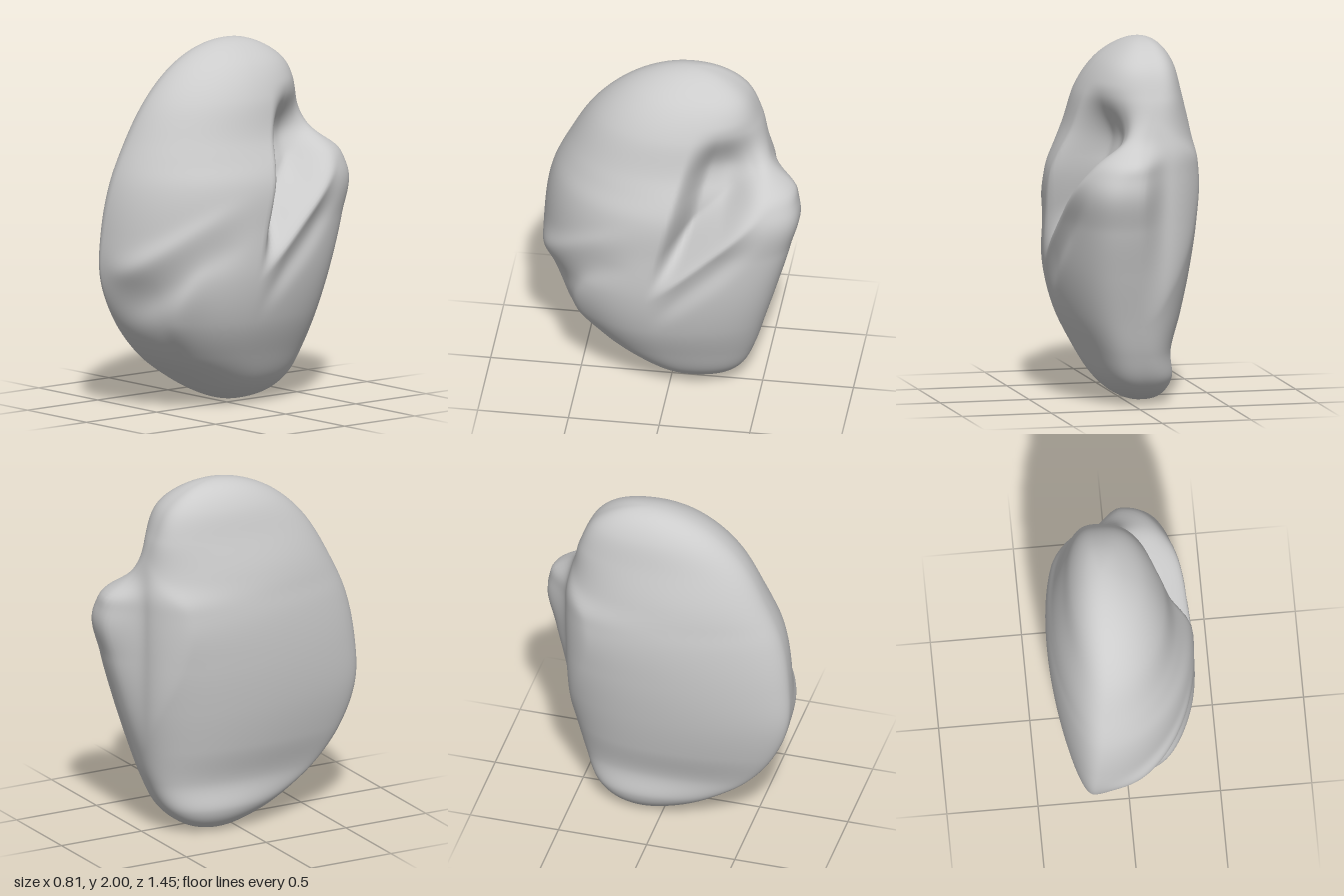
import * as THREE from 'three';
import { mergeVertices } from 'three/addons/utils/BufferGeometryUtils.js';

const ease = (x, a, b) => THREE.MathUtils.smoothstep(x, a, b);
const bump = (d, width) => Math.exp(-(d * d) / (width * width));

// Extents at 13 heights, y = 1 - cos(angle):
// back z, front z, right x, left x, x of back tip, x of front tip
const SECTIONS = [
  [-0.1, -0.1, -0.1, -0.1, -0.1, -0.1],
  [-0.28, 0.06, -0.2, 0.04, -0.07, -0.12],
  [-0.4, 0.25, -0.262, 0.16, -0.05, -0.17],
  [-0.47, 0.47, -0.258, 0.25, -0.02, -0.19],
  [-0.53, 0.63, -0.32, 0.34, 0.01, -0.2],
  [-0.6, 0.72, -0.37, 0.39, 0.03, -0.2],
  [-0.67, 0.72, -0.4, 0.395, 0.05, -0.18],
  [-0.715, 0.675, -0.405, 0.385, 0.06, -0.15],
  [-0.55, 0.57, -0.37, 0.29, -0.03, -0.13],
  [-0.485, 0.45, -0.315, 0.235, -0.1, -0.11],
  [-0.41, 0.29, -0.268, 0.145, -0.11, -0.1],
  [-0.27, 0.1, -0.195, 0.02, -0.11, -0.1],
  [-0.1, -0.1, -0.1, -0.1, -0.1, -0.1],
];

// Smooth blend between neighbouring sections, t in 0..1
function sectionAt(t) {
  const n = SECTIONS.length - 1;
  const i = Math.min(Math.floor(t * n), n - 1);
  const f = t * n - i;
  return SECTIONS[i].map((b, k) => {
    const c = SECTIONS[i + 1][k];
    const a = i > 0 ? SECTIONS[i - 1][k] : 2 * b - c;
    const d = i < n - 1 ? SECTIONS[i + 2][k] : 2 * c - b;
    return b + 0.5 * f * (c - a + f * (2 * a - 5 * b + 4 * c - d + f * (3 * (b - c) + d - a)));
  });
}

// Roundness of each quarter of the section: the flap is full, the body above it slimmer
function roundness(u, w, y) {
  if (w > 0) return u > 0 ? 1.05 : 0.95;
  return u > 0 ? 0.6 + 0.4 * bump(y - 1.58, 0.2) : 0.75;
}

// Hollow between the upper body and the back flap, with the folds under its rim
function sideRelief(y, z) {
  const pastBody = 0.06 - 0.25 * (y - 0.87) - z;
  const aboveRim = (y - 0.84 + 0.9 * z) * 0.74;
  const ends = (1 - ease(y, 1.35, 1.78)) * (1 - 0.85 * ease(-z, 0.3, 0.58));
  const hollow = 0.23 * ease(aboveRim, -0.03, 0.16) * ease(pastBody, -0.02, 0.14) * ends;
  const along = ease(-z, -0.1, 0.12) * (1 - ease(-z, 0.3, 0.58));
  const folds = 0.012 * bump(aboveRim + 0.01, 0.04) - 0.02 * bump(aboveRim + 0.12, 0.065);
  return folds * along - hollow;
}

// Curved ridge, valley and steep lower ridge across the front
function frontRelief(x, y) {
  const d = y - (0.81 + 0.35 * x + 1.2 * x * x);
  const steep = x - (y - 0.1) / 2.3;
  const low = ease(y, 0.3, 0.5) * (1 - ease(y, 0.75, 0.95));
  return ease(x, -0.2, 0.1) * (0.03 * bump(d, 0.08) - 0.042 * bump(d + 0.19, 0.11) + 0.02 * low * bump(steep, 0.055));
}

// Steps the right rear in along a rounded corner, so the flap stands out behind it
function rearStep(x, z) {
  const limit = -0.52 + 2.8 * Math.min(0, x + 0.13) ** 2;
  const excess = Math.max(0, limit - z);
  return ((excess * excess) / (excess + 0.05)) * ease(-x, -0.06, 0.16);
}

function bodyGeometry(rows = 160, cols = 200) {
  const positions = [];
  const index = [];
  for (let i = 0; i <= rows; i++) {
    const t = i / rows;
    const y = 1 - Math.cos(t * Math.PI);
    const [zRear, zFront, xRight, xLeft, backTip, frontTip] = sectionAt(t);
    const zBack = zRear - 0.035 * bump(y - 1.37, 0.06); // shoulder on top of the flap
    for (let j = 0; j < cols; j++) {
      const angle = (j / cols) * Math.PI * 2;
      const u = Math.cos(angle);
      const w = Math.sin(angle);
      const spine = THREE.MathUtils.lerp(backTip, frontTip, (w + 1) / 2);
      const side = u > 0 ? xLeft - spine : spine - xRight;
      let x = spine + side * Math.sign(u) * Math.abs(u) ** roundness(u, w, y);
      let z = (zBack + zFront) / 2 + ((zFront - zBack) / 2) * w;
      if (w > 0) z += frontRelief(x, y) * ease(w, 0.05, 0.5);
      else z += rearStep(x, z);
      if (u > 0) x += sideRelief(y, z) * ease(u, 0, 0.6);
      positions.push(x, y, z);
      if (i < rows) {
        const a = i * cols + j;
        const b = i * cols + ((j + 1) % cols);
        index.push(a, a + cols, b, b, a + cols, b + cols);
      }
    }
  }
  const geometry = new THREE.BufferGeometry();
  geometry.setAttribute('position', new THREE.Float32BufferAttribute(positions, 3));
  geometry.setIndex(index);
  const welded = mergeVertices(geometry, 1e-5);
  welded.computeVertexNormals();
  return welded;
}

export function createModel() {
  const group = new THREE.Group();
  group.name = 'foldedPebble';
  const body = new THREE.Mesh(bodyGeometry(), new THREE.MeshStandardMaterial({ color: 0xcccccc }));
  body.name = 'foldedBody';
  group.add(body);
  return group;
}
